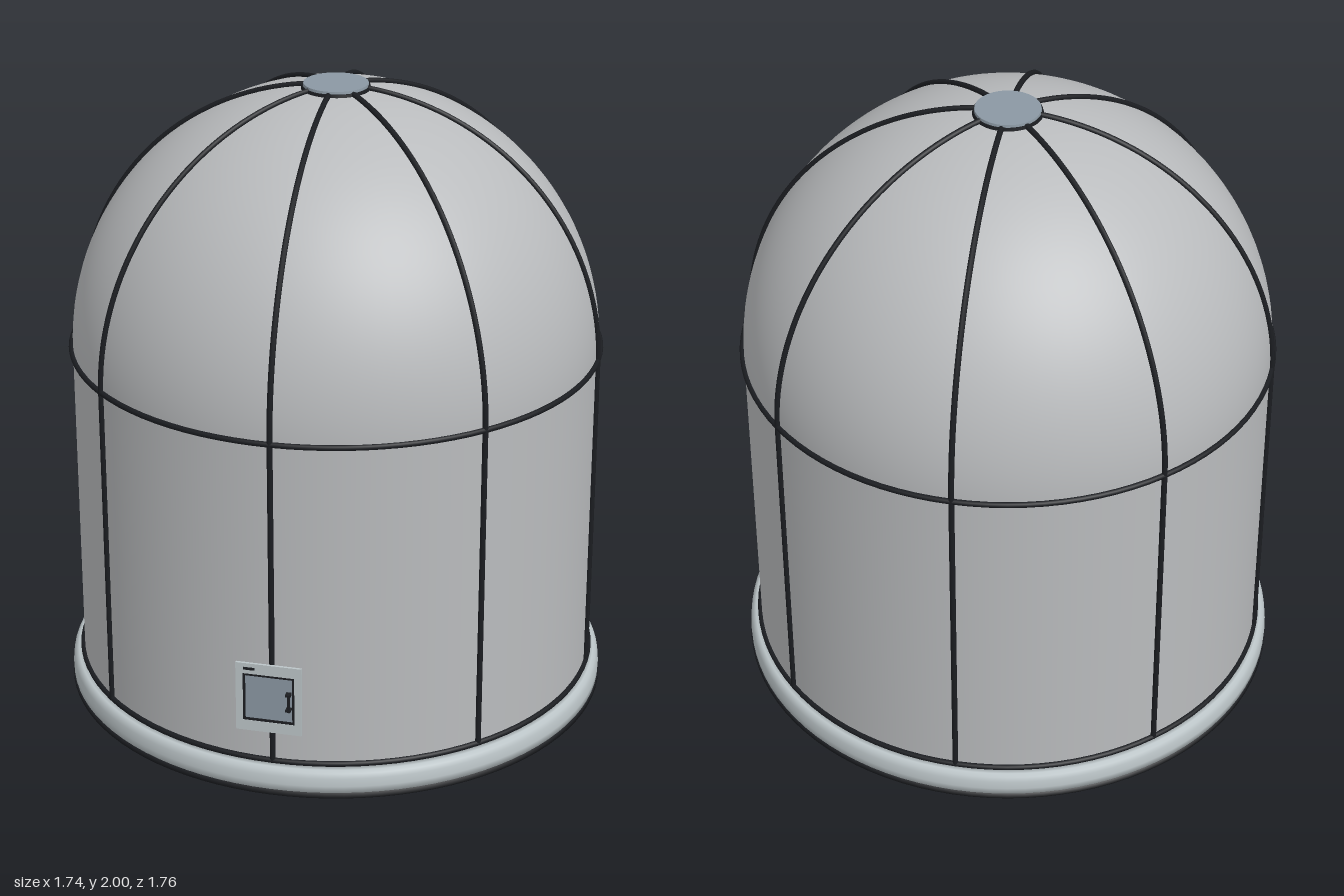
import * as THREE from 'three';

const mat = (name, color, side = THREE.FrontSide) =>
  Object.assign(new THREE.MeshStandardMaterial({ color, side }), { name });

export function createModel() {
  const shellMat = mat('shell grey', 0xb9bbbd, THREE.DoubleSide);
  const ringMat = mat('pale base grey', 0xbcc5c8, THREE.DoubleSide);
  const darkMat = mat('dark seam', 0x1b1d21);
  const steelMat = mat('blue steel', 0x8b98a3);

  const model = new THREE.Group();
  const body = new THREE.Group();
  body.name = 'domeBuilding';
  body.position.z = -0.006;
  model.add(body);

  const add = (name, geo, material, x = 0, y = 0, z = 0, parent = body) => {
    const m = new THREE.Mesh(geo, material);
    m.name = name;
    m.position.set(x, y, z);
    parent.add(m);
    return m;
  };
  const lathe = (pts, n = 96) => new THREE.LatheGeometry(pts.map(p => new THREE.Vector2(...p)), n);

  const R = 0.83, SPRING = 1.16;

  // Straight wall and hemispherical roof, open underneath
  add('wall', new THREE.CylinderGeometry(R, R, SPRING - 0.09, 96, 1, true), shellMat, 0, (SPRING + 0.09) / 2);
  add('domeRoof', new THREE.SphereGeometry(R, 96, 32, 0, Math.PI * 2, 0, Math.PI / 2), shellMat, 0, SPRING);

  // Rounded base ring with a dark foot
  add('baseRing', lathe([[0.835, 0.015], [0.868, 0.015], [0.869, 0.04], [0.866, 0.065],
    [0.86, 0.08], [0.85, 0.088], [0.828, 0.09], [0.828, 0.02]]), ringMat);
  add('baseFoot', lathe([[0.845, 0], [0.871, 0], [0.871, 0.018], [0.845, 0.018], [0.845, 0]]), darkMat);

  // Horizontal seams
  for (const [name, y] of [['lowerSeam', 0.1], ['springSeam', SPRING]]) {
    add(name, new THREE.TorusGeometry(R + 0.004, 0.009, 8, 96).rotateX(Math.PI / 2), darkMat, 0, y);
  }

  // Eight ribs, each a straight post running into a quarter arc
  const path = new THREE.CurvePath();
  const rr = R + 0.004;
  path.add(new THREE.LineCurve3(new THREE.Vector3(rr, 0.1, 0), new THREE.Vector3(rr, SPRING, 0)));
  const arc = [];
  for (let i = 0; i <= 24; i++) {
    const a = (i / 24) * (Math.PI / 2 - 0.09);
    arc.push(new THREE.Vector3(rr * Math.cos(a), SPRING + rr * Math.sin(a), 0));
  }
  path.add(new THREE.CatmullRomCurve3(arc));
  const ribGeo = new THREE.TubeGeometry(path, 80, 0.009, 8);
  for (let i = 0; i < 8; i++) add('rib', ribGeo, darkMat).rotation.y = i * Math.PI / 4;

  // Crown cap
  add('crownRim', new THREE.CylinderGeometry(0.105, 0.108, 0.012, 48), darkMat, 0, 1.986);
  add('crownCap', new THREE.CylinderGeometry(0.1, 0.103, 0.02, 48), steelMat, 0, 1.99);

  // Square service hatch low on the front, with its inner face
  const hatch = new THREE.Group();
  hatch.name = 'hatch';
  hatch.position.set(-0.002, 0.333, 0);
  body.add(hatch);
  const rect = (T, w, h) => new T([[-w, -h], [w, -h], [w, h], [-w, h]].map(p => new THREE.Vector2(...p)));
  const frame = (w, h, iw, ih, d) => {
    const s = rect(THREE.Shape, w, h);
    s.holes.push(rect(THREE.Path, iw, ih));
    return new THREE.ExtrudeGeometry(s, { depth: d, bevelEnabled: false });
  };
  add('hatchBox', new THREE.BoxGeometry(0.16, 0.16, 0.054), steelMat, 0, 0, 0.838, hatch);
  add('hatchFrame', frame(0.102, 0.115, 0.08, 0.08, 0.008), ringMat, 0, 0, 0.862, hatch);
  add('hatchGap', frame(0.081, 0.081, 0.073, 0.073, 0.005), darkMat, 0, 0, 0.864, hatch);
  add('hatchTag', new THREE.BoxGeometry(0.035, 0.008, 0.005), darkMat, -0.06, 0.098, 0.87, hatch);
  add('innerFrame', frame(0.102, 0.115, 0.08, 0.08, 0.006), ringMat, 0, 0, 0.811, hatch);
  add('innerGap', frame(0.081, 0.081, 0.073, 0.073, 0.004), darkMat, 0, 0, 0.808, hatch);
  // Pull handle
  add('handleBar', new THREE.BoxGeometry(0.008, 0.06, 0.006), darkMat, 0.065, 0, 0.883, hatch);
  for (const s of [-1, 1]) {
    add('handleMount', new THREE.BoxGeometry(0.016, 0.007, 0.024), darkMat, 0.063, s * 0.026, 0.873, hatch);
  }
  return model;
}
